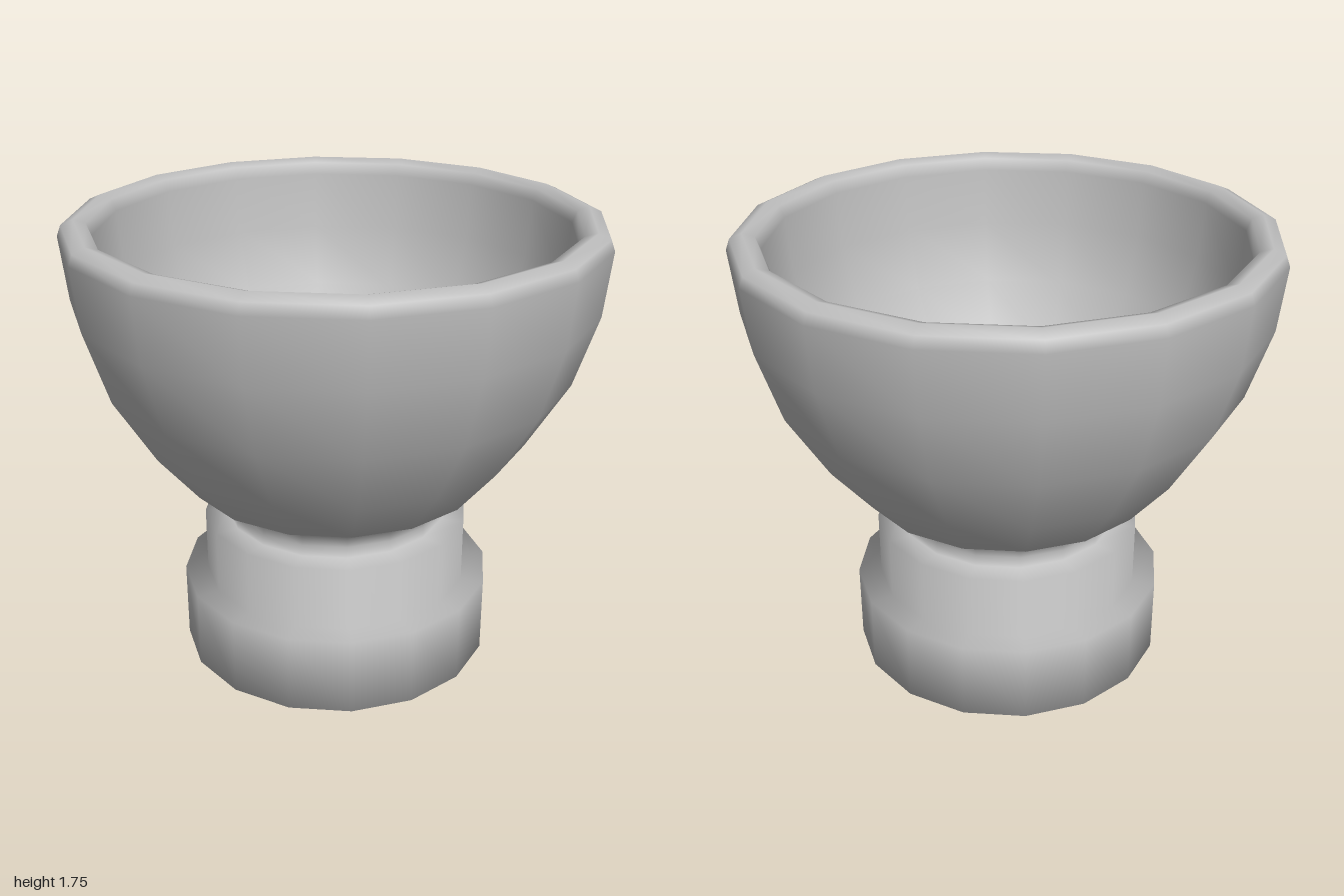
import * as THREE from 'three';

const SIDES = 16;

export function createModel() {
  const grey = new THREE.MeshStandardMaterial({ color: 0xbfbfbf });
  grey.name = 'grey';

  const model = new THREE.Group();
  model.name = 'footedBowl';

  // Smooth-shaded turned part from a [radius, height] profile
  function turned(name, profile) {
    const points = profile.map(([r, y]) => new THREE.Vector2(r, y));
    const mesh = new THREE.Mesh(new THREE.LatheGeometry(points, SIDES), grey);
    mesh.name = name;
    model.add(mesh);
  }

  // Stepped foot: flat underside, wide base, narrower collar, lower neck
  turned('steppedFoot', [
    [0, 0], [0.43, 0], [0.61, 0],
    [0.61, 0.305], [0.52, 0.305],
    [0.52, 0.56], [0.43, 0.56],
    [0.43, 0.605],
  ]);

  // Bowl: upper neck, outer wall, rounded rim, inner wall and floor
  turned('bowl', [
    [0.43, 0.605], [0.43, 0.65],
    [0.58, 0.73], [0.735, 0.92], [0.89, 1.18], [0.975, 1.45], [1.0, 1.69],
    [0.985, 1.73], [0.94, 1.75], [0.895, 1.735], [0.878, 1.69],
    [0.86, 1.47], [0.79, 1.23], [0.65, 0.99], [0.5, 0.83], [0.36, 0.77],
    [0, 0.77],
  ]);

  return model;
}
